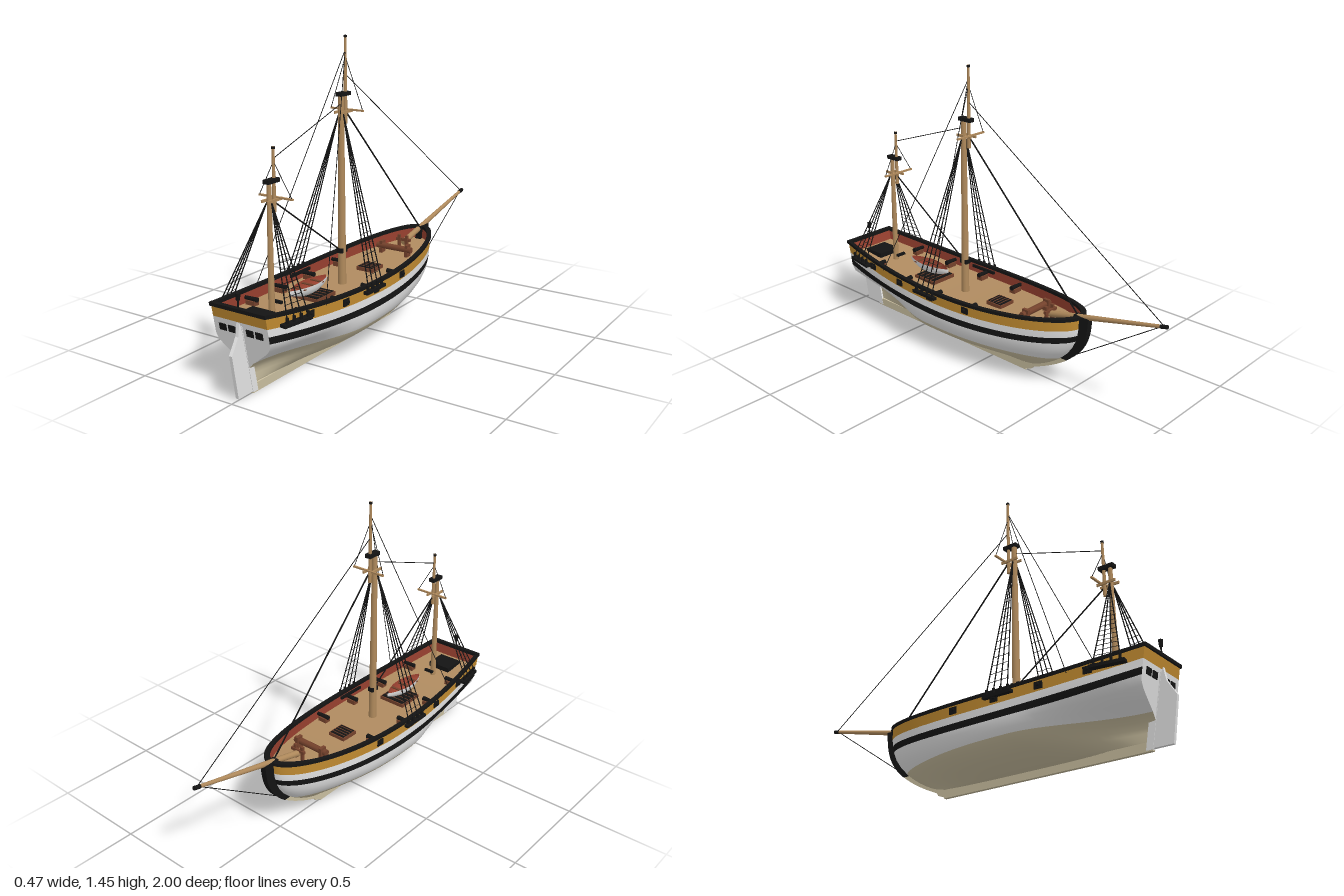
import * as THREE from 'three';

const paint = (name, color) => Object.assign(new THREE.MeshStandardMaterial({ color }), { name });
const V = (x, y, z) => new THREE.Vector3(x, y, z);
const lerp = THREE.MathUtils.lerp, smooth = THREE.MathUtils.smoothstep;

// Hull lines: t runs 0 (bow, -z) to 1 (stern, +z)
const sheer = t => 0.345 + 0.083 * (1.49 * t - 0.745) ** 2;
const stemZ = y => -0.23 - 0.315 * (1 - (1 - Math.min(1, Math.max(0, (y - 0.03) / 0.36))) ** 2.8);
const sternZ = y => 0.87 + 0.19 * y;
const tOf = z => (z + 0.545) / 1.49;
const deckY = z => sheer(tOf(z)) - 0.055;
const beam = t => t < 0.5 ? 0.215 * Math.sqrt(Math.max(0, 1 - (1 - t / 0.5) ** 2)) : 0.215 - 0.07 * ((t - 0.5) / 0.5) ** 2;
function halfWidth(t, y) {
  const u = Math.min(1, Math.max(0, (y - 0.03) / 0.22));
  const round = 1 - (1 - u) ** lerp(2, 3, smooth(t, 0, 0.4));
  const wineglass = smooth((y - 0.03) / 0.27, 0.25, 0.85);
  return beam(t) * lerp(round, wineglass, smooth(t, 0.55, 1));
}
const hullZ = (t, y) => lerp(stemZ(y), sternZ(y), t);

// Surface from a rule; one material group per strip in v
function grid(nu, nv, fn, flat = false) {
  const pos = [], idx = [];
  let g = new THREE.BufferGeometry();
  for (let j = 0; j <= nv; j++) for (let i = 0; i <= nu; i++) pos.push(...fn(i / nu, j));
  for (let j = 0; j < nv; j++) {
    g.addGroup(idx.length, nu * 6, j);
    for (let i = 0; i < nu; i++) {
      const a = j * (nu + 1) + i, b = a + 1, d = a + nu + 1, c = d + 1;
      idx.push(a, b, d, b, c, d);
    }
  }
  g.setAttribute('position', new THREE.Float32BufferAttribute(pos, 3));
  g.setIndex(idx);
  if (flat) g = g.toNonIndexed();
  g.computeVertexNormals();
  return g;
}

export function createModel() {
  const ship = new THREE.Group();
  ship.name = 'sailingShip';
  const white = paint('hullWhite', 0xe4e4e4), bottom = paint('bottomBeige', 0xc9be9f), ochre = paint('ochre', 0xc08a30),
    black = paint('black', 0x141414), red = paint('bulwarkRed', 0x98402f), deck = paint('deckTan', 0xb08b60),
    wood = paint('sparWood', 0xb08a5c), brown = paint('darkWood', 0x75422c);

  const add = (name, geo, mat) => {
    const m = new THREE.Mesh(geo, mat);
    m.name = name;
    ship.add(m);
    return m;
  };
  const box = (name, mat, w, h, d, x, y, z) => {
    const m = add(name, new THREE.BoxGeometry(w, h, d), mat);
    m.position.set(x, y, z);
    return m;
  };
  const rod = (name, mat, a, b, r0, r1 = r0, sides = 5) => {
    const dir = b.clone().sub(a);
    const m = add(name, new THREE.CylinderGeometry(r1, r0, dir.length(), sides), mat);
    m.position.copy(a).add(b).multiplyScalar(0.5);
    m.quaternion.setFromUnitVectors(V(0, 1, 0), dir.normalize());
    return m;
  };
  // Flat plate drawn in the z,y plane, centred on x = 0
  const plate = (name, mat, pts, thick) => {
    const g = new THREE.ExtrudeGeometry(new THREE.Shape(pts.map(p => new THREE.Vector2(...p))), { depth: thick, bevelEnabled: false });
    return add(name, g.translate(0, 0, -thick / 2).rotateY(-Math.PI / 2), mat);
  };

  // Hull shell with painted bands
  const levels = t => {
    const s = sheer(t), w = s - 0.122;
    return [s, s - 0.055, s - 0.09, w, lerp(w, 0.15, 0.33), lerp(w, 0.15, 0.67), 0.15, 0.125, 0.1, 0.08, 0.06, 0.045, 0.03];
  };
  const bands = [ochre, white, black, white, white, white, bottom, bottom, bottom, bottom, bottom, bottom];
  add('hull', grid(48, 24, (u, j) => {
    const t = u ** 1.6, y = levels(t)[j <= 12 ? j : 24 - j];
    return [halfWidth(t, y) * (j <= 12 ? 1 : -1), y, hullZ(t, y)];
  }), [...bands, ...bands.slice().reverse()]);

  // Deck, inner bulwarks and rails
  add('deck', grid(40, 1, (u, j) => {
    const t = u ** 1.6, y = sheer(t) - 0.055;
    return [halfWidth(t, y) * (j ? 0.99 : -0.99), y, hullZ(t, y)];
  }), [deck]);
  for (const s of [1, -1]) {
    add('innerBulwark', grid(40, 1, (u, j) => {
      const t = u ** 1.6, y = sheer(t) - (j === (s > 0 ? 1 : 0) ? 0 : 0.057);
      return [s * Math.max(0, halfWidth(t, y) - 0.01), y, hullZ(t, y) + 0.012 * (1 - 2 * t)];
    }), [red, red]);
    const section = [[-0.014, 0.009], [0.006, 0.009], [0.006, -0.006], [-0.014, -0.006], [-0.014, 0.009]];
    if (s < 0) section.reverse();
    add('rail', grid(40, 4, (u, j) => {
      const t = u ** 1.6, y = sheer(t), [o, h] = section[j];
      return [s * Math.max(0, halfWidth(t, y) + o), y + h, hullZ(t, y) - o * Math.max(0, 1 - t * 8)];
    }, true), black);
  }

  // Transom: white below, ochre above, red inside
  const topY = sheer(1), seam = topY - 0.055;
  const transom = (y0, y1, n, dir, dz) => grid(1, n, (u, j) => {
    const y = lerp(y0, y1, j / n);
    return [dir * (u * 2 - 1) * halfWidth(1, y), y, sternZ(y) + dz];
  });
  add('lowerTransom', transom(0.03, seam, 20, 1, 0), white);
  add('upperTransom', transom(seam, topY, 1, 1, 0), ochre);
  add('innerTransom', transom(seam, topY, 1, -1, -0.012), red);
  box('taffrail', black, 0.3, 0.016, 0.022, 0, topY + 0.002, sternZ(topY) - 0.004);
  for (const x of [-0.097, -0.048, 0.048, 0.097])
    box('sternWindow', black, 0.037, 0.031, 0.008, x, 0.296, sternZ(0.296)).rotation.x = 0.19;

  // Keel, stem and rudder
  box('keel', bottom, 0.018, 0.04, 1.09, 0, 0.02, 0.325);
  const stem = (y0, y1) => {
    const pts = [];
    for (let k = 0; k <= 10; k++) pts.push([stemZ(lerp(y0, y1, k / 10)) - 0.025 - lerp(y0, y1, k / 10) * 0.06, lerp(y0, y1, k / 10)]);
    for (let k = 10; k >= 0; k--) pts.push([stemZ(lerp(y0, y1, k / 10)) + 0.035, lerp(y0, y1, k / 10)]);
    return pts;
  };
  plate('stem', black, stem(0.15, 0.4), 0.032);
  plate('forefoot', bottom, [[-0.2, 0], ...stem(0.02, 0.15)], 0.018);
  plate('sternPost', white, [[0.84, 0.005], [0.872, 0.005], [0.935, 0.32], [0.9, 0.32]], 0.02);
  plate('rudder', white, [[0.872, 0.01], [0.964, 0.01], [0.997, 0.21], [0.955, 0.28], [0.945, 0.34], [0.932, 0.31]], 0.016);

  // Guns, carriages and ports
  for (const z of [0, 0.235, 0.465, 0.695]) for (const s of [1, -1]) {
    const w = halfWidth(tOf(z), 0.32), y = deckY(z) + 0.025;
    box('gunPort', black, 0.01, 0.032, 0.04, s * w, y, z);
    box('gunCarriage', brown, 0.05, 0.022, 0.032, s * (w - 0.05), y - 0.014, z);
    rod('gunBarrel', black, V(s * (w - 0.08), y + 0.003, z), V(s * (w + 0.015), y + 0.003, z), 0.012, 0.008, 8);
  }

  // Deck fittings
  const hatch = (w, d, z) => {
    const y = deckY(z);
    box('hatchFrame', brown, w, 0.018, d, 0, y + 0.009, z);
    box('hatchOpening', black, w - 0.012, 0.004, d - 0.012, 0, y + 0.019, z);
    for (let k = 1; k < 5; k++) box('gratingBar', brown, w - 0.012, 0.003, 0.003, 0, y + 0.0215, z - d / 2 + d * k / 5);
  };
  hatch(0.094, 0.095, -0.04);
  hatch(0.145, 0.14, 0.425);
  box('aftHatch', black, 0.125, 0.025, 0.115, 0, deckY(0.835) + 0.01, 0.835);
  rod('windlass', brown, V(-0.1, 0.345, -0.27), V(0.1, 0.345, -0.27), 0.016, 0.016, 8);
  for (const s of [1, -1]) {
    box('windlassPost', brown, 0.016, 0.07, 0.035, s * 0.075, 0.335, -0.275);
    box('bittPost', brown, 0.014, 0.08, 0.014, s * 0.022, 0.35, -0.355);
  }
  box('bittBeam', brown, 0.08, 0.014, 0.014, 0, 0.365, -0.36);
  box('mizzenRack', black, 0.05, 0.012, 0.014, 0, 0.35, 0.685);
  rod('lanternPost', black, V(0, 0.39, 0.94), V(0, 0.44, 0.94), 0.004);
  rod('lantern', black, V(0, 0.435, 0.94), V(0, 0.466, 0.94), 0.009, 0.011, 6);

  // Ship's boat
  const boat = (k, dir) => grid(20, 10, (u, j) => {
    const a = Math.PI * j / 10, c = Math.sin(Math.PI * u) ** 0.75;
    return [dir * 0.042 * k * c * Math.cos(a), 0.37 - 0.052 * k * Math.sin(a) * (0.35 + 0.65 * c), 0.46 + 0.14 * k * (2 * u - 1)];
  });
  add('boatShell', boat(1, 1), white);
  add('boatInside', boat(0.95, -1), red);
  for (const z of [0.4, 0.46, 0.53]) box('boatThwart', brown, 0.07, 0.005, 0.014, 0, 0.362, z);

  // Masts, topmasts, caps and crosstrees
  const mast = (z, topZ, r, foot, head, low, tip, cross) => {
    rod('lowerMast', wood, V(0, foot, z), V(0, head, z), r, r * 0.65, 12);
    rod('topmast', wood, V(0, low, topZ), V(0, tip, topZ), 0.009, 0.006, 8);
    rod('mastTruck', black, V(0, tip - 0.01, topZ), V(0, tip, topZ), 0.008, 0.008, 8);
    box('mastCap', black, 0.032, 0.018, 0.075, 0, head - 0.007, (z + topZ) / 2);
    box('crosstree', wood, 0.18, 0.008, 0.01, 0, cross + 0.006, topZ - 0.012);
    for (const s of [1, -1]) {
      box('trestletree', wood, 0.007, 0.012, 0.095, s * 0.016, cross, (z + topZ) / 2);
      rod('topmastShroud', black, V(s * 0.088, cross + 0.005, topZ - 0.01), V(0, lerp(cross, tip, 0.72), topZ), 0.0016);
    }
  };
  mast(0.198, 0.163, 0.02, 0.28, 1.195, 1.05, 1.45, 1.107);
  mast(0.725, 0.692, 0.015, 0.3, 0.895, 0.75, 1.03, 0.806);
  rod('bowsprit', wood, V(0, 0.35, -0.36), V(0, 0.497, -0.985), 0.016, 0.008, 10);
  rod('bowspritTip', black, V(0, 0.492, -0.965), V(0, 0.5, -0.998), 0.01, 0.01, 8);

  // Shrouds, ratlines, deadeyes and channels
  const shrouds = (s, z, head, x, z0, z1, slope, baseY) => {
    const base = k => V(s * (x - slope * (lerp(z0, z1, k / 3) - (z0 + z1) / 2)), baseY, lerp(z0, z1, k / 3));
    const top = V(s * 0.012, head, z);
    box('channel', black, 0.042, 0.014, z1 - z0 + 0.04, s * (x - 0.01), baseY - 0.025, (z0 + z1) / 2).rotation.y = -s * slope;
    for (let k = 0; k < 4; k++) {
      rod('shroud', black, base(k), top, 0.0028);
      rod('deadeye', black, base(k).setY(baseY - 0.025), base(k).setY(baseY + 0.008), 0.007, 0.007, 6);
    }
    for (let k = 1; k < 14; k++) rod('ratline', black, base(0).lerp(top, k * 0.06), base(3).lerp(top, k * 0.06), 0.0013, 0.0013, 4);
  };
  for (const s of [1, -1]) {
    shrouds(s, 0.198, 1.1, 0.225, 0.205, 0.318, 0, 0.35);
    shrouds(s, 0.725, 0.8, 0.19, 0.735, 0.85, 0.17, 0.36);
    rod('backstay', black, V(0, 1.385, 0.163), V(s * 0.195, 0.345, 0.6), 0.0018);
  }

  // Stays
  rod('mainStay', black, V(0, 1.11, 0.165), V(0, 0.4, -0.52), 0.004);
  rod('mizzenStay', black, V(0, 0.8, 0.7), V(0, 0.45, 0.2), 0.0035);
  rod('foreTopmastStay', black, V(0, 1.275, 0.163), V(0, 0.5, -0.98), 0.002);
  rod('mizzenTopmastStay', black, V(0, 0.98, 0.692), V(0, 1.145, 0.2), 0.002);
  rod('bobstay', black, V(0, 0.49, -0.965), V(0, 0.175, -0.495), 0.002);
  box('stayCollar', black, 0.03, 0.022, 0.044, 0, 0.455, 0.198);
  return ship;
}
